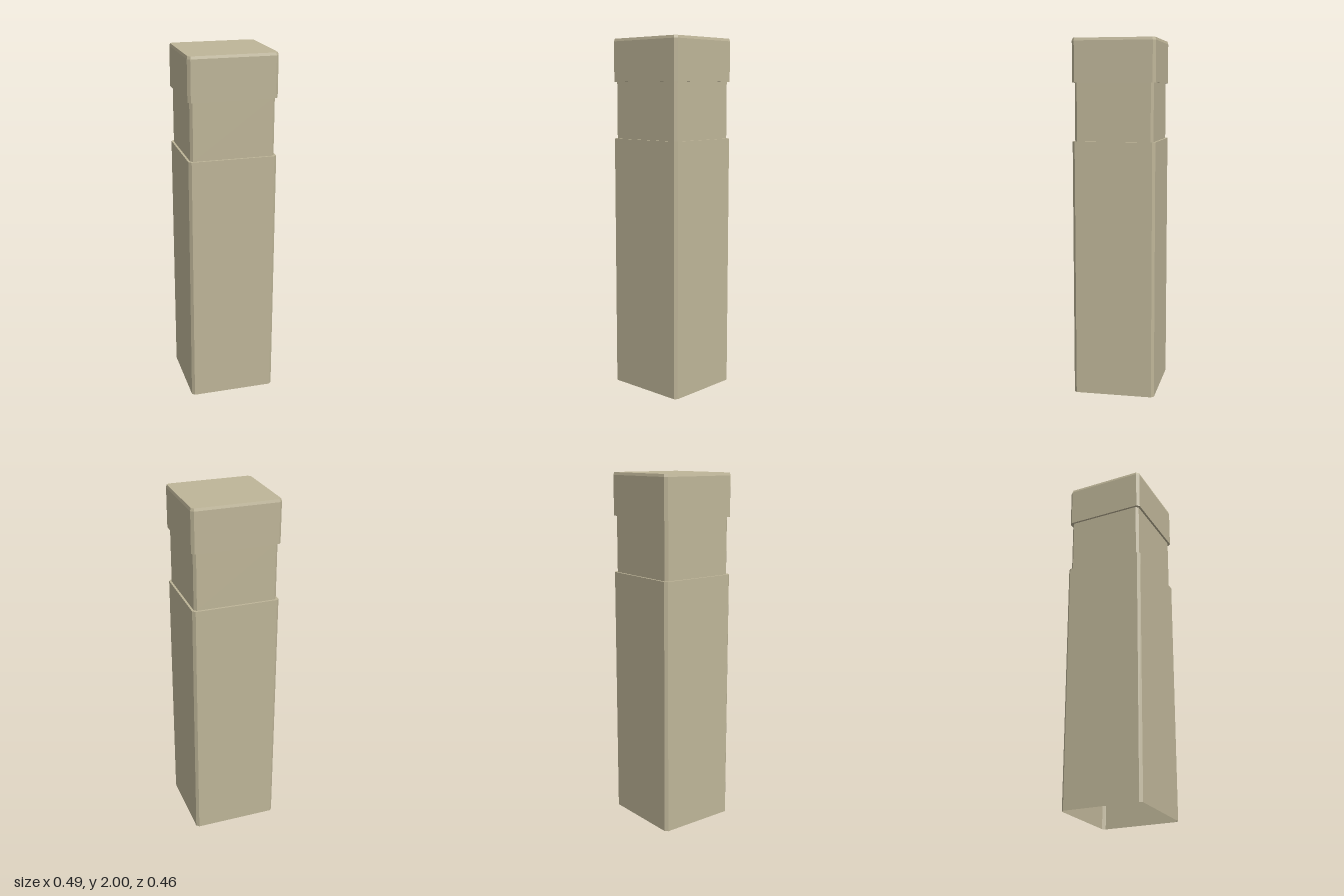
import * as THREE from 'three';

const material = new THREE.MeshStandardMaterial({ color: 0xbeb598, flatShading: true, side: THREE.DoubleSide });

// Rectangle with chamfered corners, counter-clockwise seen from above
function section([y, hx, hz, c]) {
  return [
    [hx, hz - c], [hx, c - hz], [hx - c, -hz], [c - hx, -hz],
    [-hx, c - hz], [-hx, hz - c], [c - hx, hz], [hx - c, hz],
  ].map(([x, z]) => [x, y, z]);
}

// Skin a stack of sections from bottom to top, optionally closing the top
function loft(name, rings, closeTop = false) {
  const sections = rings.map(section);
  const positions = sections.flat(2);
  const index = [];
  for (let r = 0; r < sections.length - 1; r++) {
    for (let i = 0; i < 8; i++) {
      const a = r * 8 + i, b = r * 8 + (i + 1) % 8;
      index.push(a, b, b + 8, a, b + 8, a + 8);
    }
  }
  if (closeTop) {
    const t = (sections.length - 1) * 8;
    for (let i = 1; i < 7; i++) index.push(t, t + i, t + i + 1);
  }
  const indexed = new THREE.BufferGeometry();
  indexed.setAttribute('position', new THREE.Float32BufferAttribute(positions, 3));
  indexed.setIndex(index);
  const geometry = indexed.toNonIndexed();
  geometry.computeVertexNormals();
  const mesh = new THREE.Mesh(geometry, material);
  mesh.name = name;
  return mesh;
}

export function createModel() {
  const group = new THREE.Group();
  group.name = 'post';

  // Each ring: height, half width, half depth, corner chamfer
  const neck = [0.234, 0.219, 0.014];
  const outer = [0.246, 0.231, 0.015];

  group.add(
    // Hollow shaft, open below, with a narrow ledge on top
    loft('shaft', [[0, ...outer], [1.44, ...outer], [1.44, ...neck]]),
    // Recessed neck
    loft('neck', [[1.44, ...neck], [1.76, ...neck]]),
    // Overhanging cap with a fine bevel around the top
    loft('cap', [[1.76, ...neck], [1.76, ...outer], [1.985, ...outer], [2, 0.242, 0.227, 0.014]], true),
  );
  return group;
}
